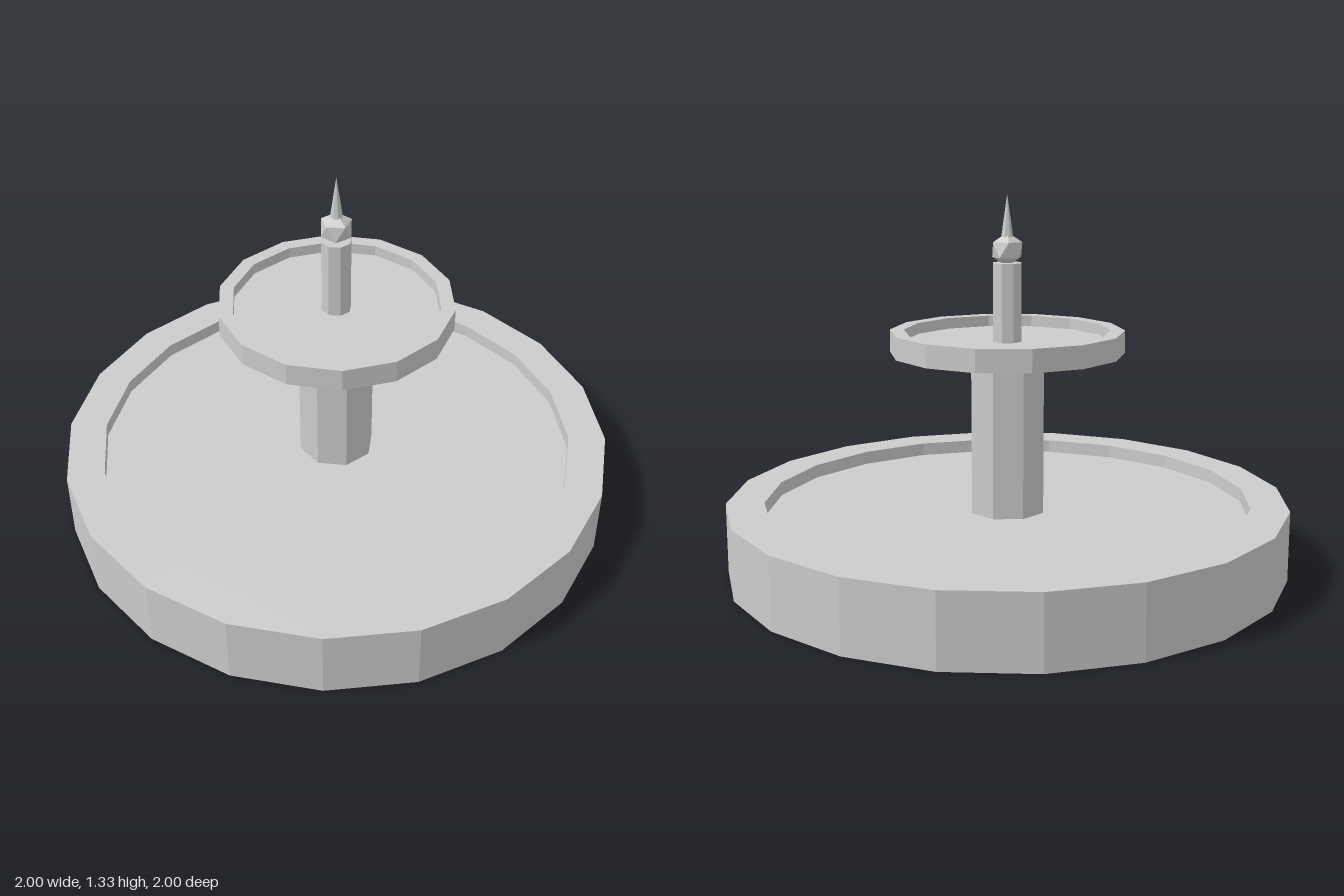
import * as THREE from 'three';

export function createModel() {
  const group = new THREE.Group();
  group.name = 'fountain';
  const stone = new THREE.MeshStandardMaterial({ color: 0xcccccc, flatShading: true });
  stone.name = 'pale stone';

  const add = (name, geometry) => {
    const mesh = new THREE.Mesh(geometry, stone);
    mesh.name = name;
    group.add(mesh);
    return mesh;
  };
  const lathe = (points, sides, start = 0) =>
    new THREE.LatheGeometry(points.map(([r, y]) => new THREE.Vector2(r, y)), sides, start);
  const prism = (rTop, rBottom, y0, y1, sides) =>
    new THREE.CylinderGeometry(rTop, rBottom, y1 - y0, sides).translate(0, (y0 + y1) / 2, 0);

  // Large basin: an open ring wall with a thin raised floor
  add('basinWall', lathe([[0.865, 0], [1, 0], [1, 0.25], [0.865, 0.25], [0.865, 0]], 20));
  add('basinFloor', prism(0.865, 0.865, 0.194, 0.2, 20));

  // Main column, passing through the floor to the ground
  add('column', prism(0.138, 0.138, 0, 0.735, 8));

  // Upper bowl with a shallow conical underside
  add('upperBowl', lathe([
    [0, 0.73], [0.11, 0.73], [0.415, 0.775], [0.415, 0.855],
    [0.365, 0.855], [0.365, 0.815], [0, 0.815],
  ], 14, Math.PI / 2));

  // Upper column
  add('upperColumn', prism(0.053, 0.053, 0.8, 1.092, 8));

  // Faceted ball with one corner pointing straight up
  const ball = new THREE.IcosahedronGeometry(0.06, 0);
  ball.rotateX(-Math.atan((1 + Math.sqrt(5)) / 2)).rotateY(Math.PI / 2);
  add('finialBall', ball).position.y = 1.138;

  // Spike
  add('spike', new THREE.ConeGeometry(0.024, 0.16, 8).translate(0, 1.25, 0));

  return group;
}
